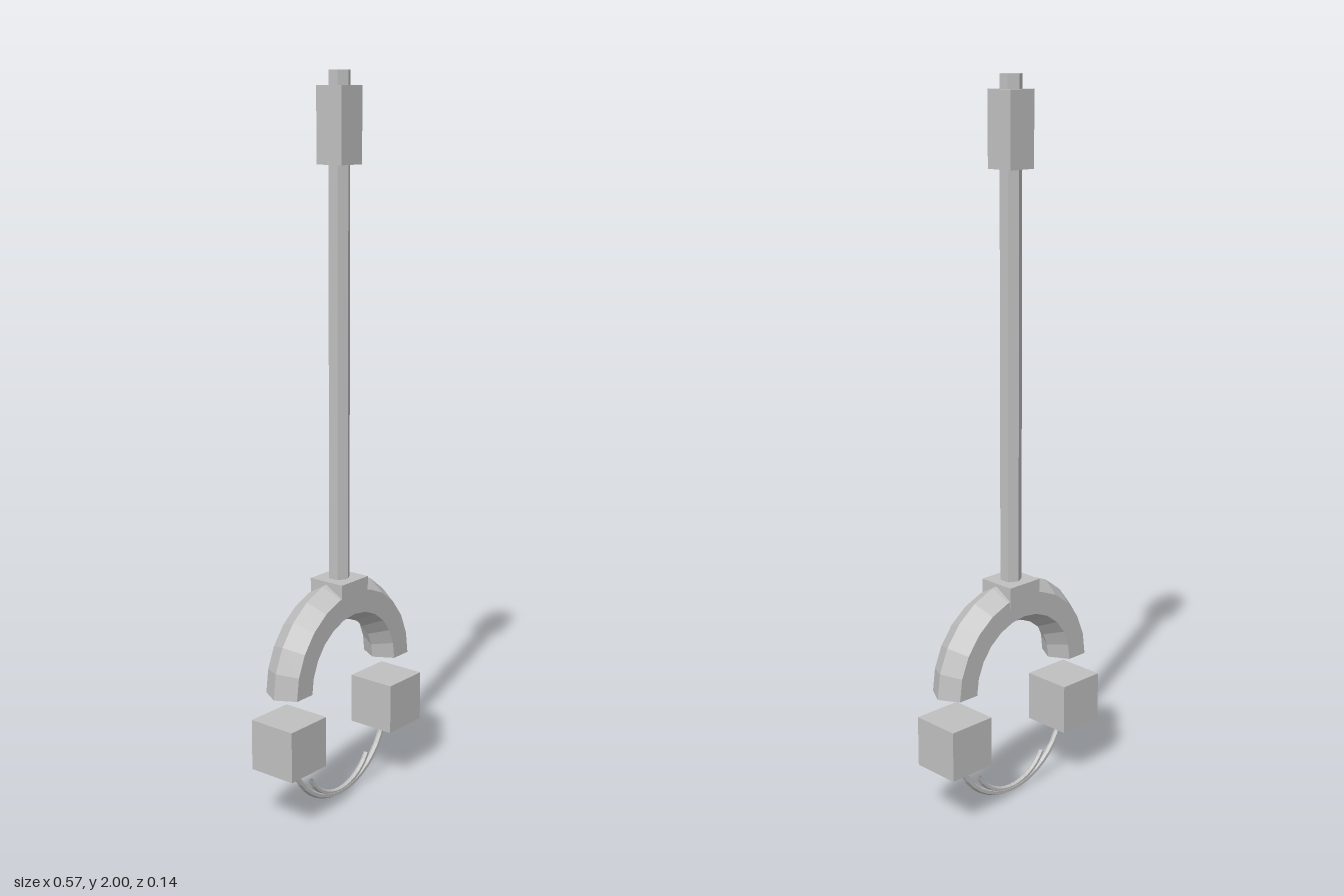
import * as THREE from 'three';

export function createModel() {
  const model = new THREE.Group();
  const metal = new THREE.MeshStandardMaterial({ color: 0xc0c0c0, flatShading: true, side: THREE.DoubleSide });
  metal.name = 'light grey metal';

  function add(name, geometry, x, y, z = 0) {
    const mesh = new THREE.Mesh(geometry, metal);
    mesh.name = name;
    mesh.position.set(x, y, z);
    model.add(mesh);
    return mesh;
  }

  // Arc of a ring lying in the xy plane, centred on the given polar angle
  function arc(name, radius, tube, sides, steps, sweep, middle, y) {
    const geometry = new THREE.TorusGeometry(radius, tube, sides, steps, sweep);
    geometry.rotateZ(middle - sweep / 2);
    return add(name, geometry, 0, y);
  }

  // Hexagonal shaft and the block near its top
  add('shaft', new THREE.CylinderGeometry(0.03, 0.03, 1.4, 6), 0, 1.3);
  add('topBlock', new THREE.BoxGeometry(0.084, 0.2, 0.084), 0, 1.862);

  // Arch with open ends, and the collar joining it to the shaft
  arc('arch', 0.212, 0.063, 6, 12, Math.PI, Math.PI / 2, 0.37);
  add('collar', new THREE.BoxGeometry(0.112, 0.06, 0.111), 0, 0.6155);

  // Floating cubes under the arch ends
  for (const side of [-1, 1]) {
    add(side > 0 ? 'leftCube' : 'rightCube', new THREE.BoxGeometry(0.142, 0.142, 0.142), side * 0.214, 0.228);
  }

  // Thin lower bow and the shorter, tighter bow inside it
  arc('lowerBow', 0.21, 0.009, 6, 20, Math.PI, -Math.PI / 2, 0.219);
  arc('innerBow', 0.143, 0.008, 6, 14, Math.PI * 2 / 3, -Math.PI / 2, 0.157);

  return model;
}
